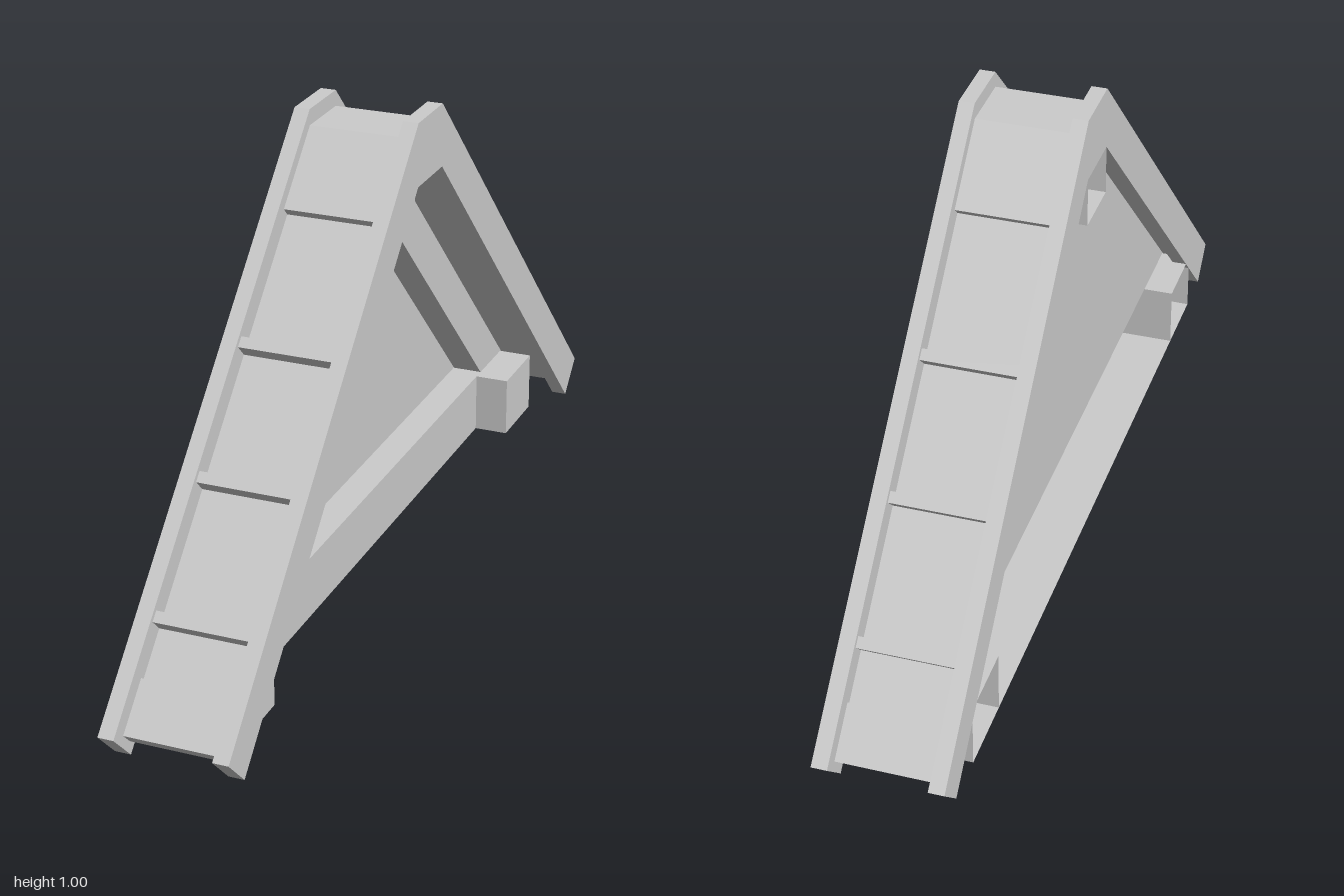
import * as THREE from 'three';

const material = new THREE.MeshStandardMaterial({ color: 0xcccccc, flatShading: true, side: THREE.DoubleSide });

// Point on the slope, as [z, y]: s = z + y (distance out), d = y - z (distance up)
const at = (s, d) => [(s - d) / 2, (s + d) / 2];

const toShape = (points) => new THREE.Shape(points.map(([z, y]) => new THREE.Vector2(z, y)));
const mirrored = (half) => [...half, ...half.slice().reverse().map(([z, y]) => [-z, y])];

// Inverted V band between two slope lines, with a flat ridge
function gableBand(outer, inner, dEnd) {
  const r = 0.067;
  const o = mirrored([at(outer, dEnd), [r, outer - r]]);
  const i = mirrored([at(inner, dEnd), [r, inner - r]]);
  return [...o, ...i.reverse()];
}

export function createModel() {
  const group = new THREE.Group();

  const add = (name, geometry) => {
    const mesh = new THREE.Mesh(geometry, material);
    mesh.name = name;
    group.add(mesh);
    return mesh;
  };

  // Extrude a (z, y) profile from x0 to x1
  const slab = (name, points, x0, x1) => {
    const geo = new THREE.ExtrudeGeometry(toShape(points), { depth: x1 - x0, bevelEnabled: false });
    geo.rotateY(-Math.PI / 2).translate(x1, 0, 0);
    return add(name, geo);
  };

  // Box given by its limits, optionally leaving out sides
  // (side order: +x, -x, +y, -y, +z, -z)
  const shell = (name, [x0, x1], [y0, y1], [z0, z1], omit = []) => {
    const geo = new THREE.BoxGeometry(x1 - x0, y1 - y0, z1 - z0);
    const index = [...geo.index.array].filter((v, i) => !omit.includes(Math.floor(i / 6)));
    geo.setIndex(index);
    geo.clearGroups();
    geo.translate((x0 + x1) / 2, (y0 + y1) / 2, (z0 + z1) / 2);
    return add(name, geo);
  };

  // Side boards along both edges of the roof
  const board = gableBand(1.067, 0.933, -0.933);
  slab('leftRakeBoard', board, 0.1, 0.133);
  slab('rightRakeBoard', board, -0.133, -0.1);

  // Roof covering and ridge cap
  slab('roofPanel', gableBand(1, 0.967, -0.905), -0.1, 0.1);
  slab('ridgeCap', gableBand(1.033, 1, 0.633), -0.1, 0.1);

  // Raised battens and eave strips on both slopes
  for (const side of [1, -1]) {
    const strip = (name, outer, d0, d1) =>
      slab(name, [at(1, d0), at(outer, d0), at(outer, d1), at(1, d1)].map(([z, y]) => [side * z, y]), -0.1, 0.1);
    for (const d of [0.2, -0.2, -0.6]) strip('batten', 1.053, d, d + 0.033);
    strip('eaveStrip', 1.017, -0.905, -0.745);

    // Rafter with its angled tail
    const rafter = [[0.923, 0.044], [0.83, 0.013], [0.69, 0.137], [0, 0.827], [0, 0.9], [0.067, 0.9]];
    slab('rafter', rafter.map(([z, y]) => [side * z, y]), -0.066, 0);
  }

  // Thin gable wall
  const wall = new THREE.ShapeGeometry(toShape(mirrored([[0.83, 0.133], [0.067, 0.9]])));
  wall.rotateY(-Math.PI / 2).translate(-0.067, 0, 0);
  add('gableWall', wall);

  // Tie beam: face, top and underside, open towards the right
  shell('tieBeam', [-0.067, 0], [0, 0.133], [-0.667, 0.667], [1, 3, 4, 5]);
  const base = new THREE.PlaneGeometry(0.133, 1.334);
  base.rotateX(Math.PI / 2).translate(-0.0665, 0, 0);
  add('tieBeamUnderside', base);

  // Purlin ends at the eaves and ridge, open on the right end
  shell('frontPurlin', [-0.133, 0.075], [0, 0.133], [0.667, 0.83], [1]);
  shell('backPurlin', [-0.133, 0.075], [0, 0.133], [-0.83, -0.667], [1]);
  shell('ridgePurlin', [-0.133, 0.075], [0.76, 0.867], [-0.067, 0.067], [1]);

  return group;
}
